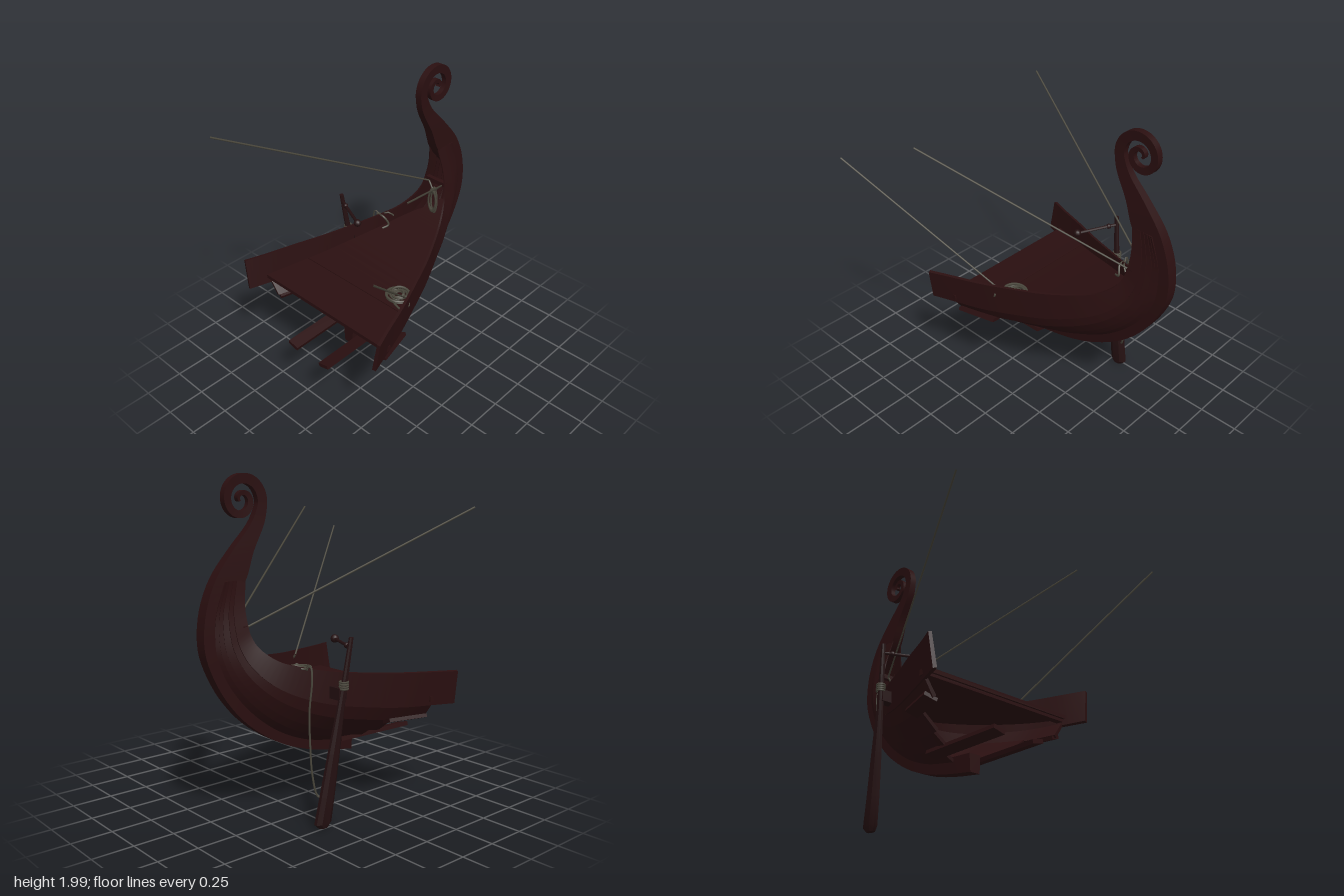
import * as THREE from 'three';
import { toCreasedNormals } from 'three/addons/utils/BufferGeometryUtils.js';

const V = (x, y, z) => new THREE.Vector3(x, y, z);
const wood = new THREE.MeshStandardMaterial({ color: 0x2a0f10, side: THREE.DoubleSide });
wood.name = 'dark wood';
const oarWood = new THREE.MeshStandardMaterial({ color: 0x241011, side: THREE.DoubleSide });
oarWood.name = 'oar wood';
const rope = new THREE.MeshStandardMaterial({ color: 0x49463b });
rope.name = 'rope';

function add(parent, name, geometry, material, x = 0, y = 0, z = 0) {
  const mesh = new THREE.Mesh(geometry, material);
  mesh.name = name;
  mesh.position.set(x, y, z);
  parent.add(mesh);
  return mesh;
}

// Skin a row of equal closed rings and cap both ends
function loft(rings, crease = 0.6) {
  const n = rings[0].length, index = [];
  for (let i = 0; i < rings.length - 1; i++) {
    for (let j = 0; j < n; j++) {
      const a = i * n + j, b = i * n + (j + 1) % n;
      index.push(a, b, a + n, b, b + n, a + n);
    }
  }
  const last = (rings.length - 1) * n;
  for (let j = 1; j < n - 1; j++) index.push(0, j + 1, j, last, last + j, last + j + 1);
  const g = new THREE.BufferGeometry().setFromPoints(rings.flat());
  g.setIndex(index);
  return toCreasedNormals(g, crease);
}

function tube(points, radius, segments = 40) {
  return new THREE.TubeGeometry(new THREE.CatmullRomCurve3(points), segments, radius, 6);
}

// Keel seam (z, y) and gunwale (x, y, z) at matching stations, aft to bow
const keelSeam = [[.56, .38], [.4, .38], [.2, .38], [0, .41], [-.2, .455], [-.4, .545], [-.58, .68],
  [-.72, .84], [-.8, 1], [-.82, 1.12], [-.81, 1.26], [-.75, 1.43]];
const gunwale = [[.6, .85, .53], [.55, .855, .4], [.48, .865, .2], [.4, .88, 0], [.32, .905, -.2],
  [.24, .94, -.37], [.18, .98, -.49], [.13, 1.05, -.58], [.1, 1.12, -.62], [.082, 1.2, -.635],
  [.06, 1.3, -.635], [.035, 1.43, -.61]];
const K = new THREE.CatmullRomCurve3(keelSeam.map(([z, y]) => V(.04, y, z)), false, 'catmullrom');
const G = new THREE.CatmullRomCurve3(gunwale.map(p => V(...p)), false, 'catmullrom');
const LAST = gunwale.length - 1;

// Strake edges as [share of breadth, share of height]
const edges = [[0, 0], [.28, .1], [.52, .22], [.8, .4], [.93, .57], [1, 1]];
const starts = [2.7, 2.25, 2, 1, 0];

function hullPoint(u, edge) {
  const k = K.getPoint(u / LAST), g = G.getPoint(u / LAST), [fx, fy] = edges[edge];
  return V(k.x + (g.x - k.x) * fx, k.y + (g.y - k.y) * fy, k.z + (g.z - k.z) * fy);
}

function strake(band, side) {
  const rings = [], steps = 44;
  for (let i = 0; i <= steps; i++) {
    const u = starts[band] + (LAST - starts[band]) * i / steps;
    const low = hullPoint(u, band), high = hullPoint(u, band + 1);
    const e = Math.min(u + .05, LAST), along = hullPoint(e, band).sub(hullPoint(e - .1 < 0 ? 0 : e - .1, band));
    const out = along.cross(high.clone().sub(low)).normalize();
    if (out.x - out.y * .5 < 0) out.negate();
    const fade = 1 - .7 * u / LAST;
    const ring = [low.clone().addScaledVector(out, .012 * fade), high.clone(),
      high.clone().addScaledVector(out, -.02 * fade), low.clone().addScaledVector(out, -.012 * fade)];
    ring.forEach(p => { p.x *= side; });
    rings.push(ring);
  }
  return loft(rings, .5);
}

// Stem from keel to neck: outer z, y, inner z, y, half width
const stemStations = [[.2, .3, .2, .41, .04], [0, .335, 0, .43, .042], [-.2, .385, -.22, .48, .042],
  [-.4, .47, -.42, .57, .042], [-.6, .605, -.56, .69, .042], [-.75, .77, -.69, .83, .042],
  [-.85, .95, -.77, .99, .042], [-.888, 1.1, -.79, 1.12, .042], [-.87, 1.28, -.75, 1.25, .042],
  [-.8, 1.45, -.615, 1.42, .038], [-.68, 1.6, -.55, 1.58, .031], [-.56, 1.73, -.475, 1.72, .025]];

function stemGeometry() {
  const s = stemStations.map(a => a.slice());
  // The neck runs on into a spiral
  for (let k = -.4; k <= 13; k += .5) {
    const a = k * Math.PI / 4, r = .165 - .0115 * k, w = .062 * (1 - k / 17);
    const at = q => [-.612 + Math.cos(a) * q, 1.86 + Math.sin(a) * q];
    s.push([...at(r - w), ...at(r), .022 - k * .0006]);
  }
  const curve = f => new THREE.CatmullRomCurve3(s.map(f), false, 'catmullrom');
  const outer = curve(p => V(p[4], p[1], p[0])), inner = curve(p => V(p[4], p[3], p[2]));
  const rings = [], n = (s.length - 1) * 4;
  for (let i = 0; i <= n; i++) {
    const o = outer.getPoint(i / n), q = inner.getPoint(i / n);
    rings.push([V(-o.x * .85, o.y, o.z), V(o.x * .85, o.y, o.z), V(q.x, q.y, q.z), V(-q.x, q.y, q.z)]);
  }
  return loft(rings);
}

const deckHeight = z => .715 + .07 * (.42 - z) + .13 * (.42 - z) ** 2;

function deckGeometry() {
  const rings = [];
  const row = (x, z) => {
    const y = deckHeight(z);
    rings.push([V(-x, y, z), V(x, y, z), V(x, y - .025, z), V(-x, y - .025, z)]);
  };
  for (let i = 0; i <= 24; i++) {
    const g = G.getPoint((.85 + 7.15 * i / 24) / LAST);
    row(g.x * .965 - .002, g.z);
  }
  row(.03, -.75);
  return loft(rings);
}

function steeringOar() {
  // y, x, z, half thickness, half breadth
  const st = [[1.11, -.555, -.165, .012, .013], [.9, -.54, -.19, .014, .018], [.7, -.525, -.215, .016, .025],
    [.45, -.51, -.25, .022, .04], [.2, -.495, -.285, .026, .05], [.04, -.487, -.31, .027, .056],
    [.01, -.485, -.305, .018, .03]];
  return loft(st.map(([y, x, z, t, b]) => [[-1, -.5], [-.4, -1], [.4, -1], [1, -.5], [1, .5], [.4, 1], [-.4, 1], [-1, .5]]
    .map(([p, q]) => V(x + p * t, y, z + q * b))), .5);
}

export function createModel() {
  const model = new THREE.Group();
  model.name = 'broken ship bow';
  const hull = new THREE.Group();
  hull.name = 'hull';
  hull.position.x = -.15;
  model.add(hull);

  add(hull, 'stem and spiral prow', stemGeometry(), wood);
  for (const side of [1, -1]) {
    for (let b = 0; b < starts.length; b++) add(hull, 'strake', strake(b, side), wood);
    // Broken planks sticking out of the torn end
    const low = add(hull, 'lower broken plank', new THREE.BoxGeometry(.08, .025, .58), wood, side * .14, .425, .27);
    low.rotation.z = side * .25;
    low.rotation.x = .02;
    const mid = add(hull, 'middle broken plank', new THREE.BoxGeometry(.08, .022, .26), wood, side * .43, .572, .26);
    mid.rotation.z = side * .35;
    mid.rotation.y = side * .25;
  }

  // Deck and cross timbers
  add(hull, 'deck', deckGeometry(), wood);
  add(hull, 'deck beam', new THREE.BoxGeometry(1.06, .035, .04), wood, 0, .69, .39);
  add(hull, 'deck batten', new THREE.BoxGeometry(.86, .006, .008), wood, 0, deckHeight(.14) + .001, .14);
  add(hull, 'bow crosspiece', new THREE.BoxGeometry(.17, .03, .03), wood, 0, 1.17, -.65);

  // Steering oar, tiller and mount
  const steering = new THREE.Group();
  steering.name = 'steering gear';
  model.add(steering);
  add(steering, 'steering oar', steeringOar(), oarWood);
  add(steering, 'tiller', tube([V(-.55, 1.055, -.17), V(-.3, 1.055, -.055)], .01, 1), oarWood);
  add(steering, 'tiller knob', new THREE.SphereGeometry(.025, 12, 8), oarWood, -.3, 1.055, -.055);
  add(steering, 'tiller pin', new THREE.SphereGeometry(.017, 10, 8), oarWood, -.5, 1.055, -.147);
  add(steering, 'oar mount', new THREE.BoxGeometry(.08, .07, .06), oarWood, -.495, .79, -.205);
  for (let i = 0; i < 4; i++) {
    const ring = add(steering, 'oar lashing', new THREE.TorusGeometry(.024, .006, 6, 16), rope, -.536, .82 + i * .013, -.2);
    ring.rotation.x = Math.PI / 2;
  }
  add(steering, 'oar rope', tube([V(-.33, .92, -.43), V(-.35, .95, -.4), V(-.4, .93, -.37), V(-.43, .955, -.355),
    V(-.45, .88, -.36), V(-.44, .7, -.37), V(-.44, .5, -.365), V(-.455, .32, -.36), V(-.475, .2, -.335), V(-.5, .19, -.3)], .006), rope);
  add(steering, 'rail rope', tube([V(-.42, .93, -.36), V(-.36, .93, -.36), V(-.33, .87, -.38), V(-.35, .85, -.34)], .007, 20), rope);

  // Rigging lines
  const rigging = new THREE.Group();
  rigging.name = 'rigging';
  model.add(rigging);
  const stays = [[V(-.705, 1.81, .69), V(-.195, 1.165, -.63)], [V(.545, 1.795, .435), V(-.09, 1.165, -.63)],
    [V(.74, 1.645, .885), V(.26, .85, .11)]];
  for (const s of stays) add(rigging, 'stay', tube(s, .006, 1), rope);
  for (const x of [-.195, -.09]) add(rigging, 'stay tail', tube([V(x, 1.165, -.63), V(-.15, 1.1, -.625)], .006, 1), rope);
  add(rigging, 'stay tail', tube([V(.26, .85, .11), V(.285, .8, .1), V(.26, .775, .14), V(.19, .775, .13)], .007, 16), rope);

  // Coil lying on the deck
  const coil = [];
  for (let i = 0; i <= 96; i++) {
    const a = i / 96 * Math.PI * 12, r = .055 + .025 * Math.cos(a * .31);
    coil.push(V(.155 + Math.cos(a) * r, .772 + .022 * i / 96 + .006 * Math.sin(a * 1.3), .05 + Math.sin(a) * r));
  }
  add(rigging, 'deck coil', tube(coil, .008, 240), rope);

  // Coil hanging at the bow
  for (let i = 0; i < 4; i++) {
    const loop = add(rigging, 'hanging coil', new THREE.TorusGeometry(.03, .006, 6, 28), rope,
      -.155 + (i % 2) * .008, 1.02 + i * .004, -.64 + i * .01);
    loop.scale.set(.8 + i * .08, 3 - i * .15, 1);
  }
  return model;
}
